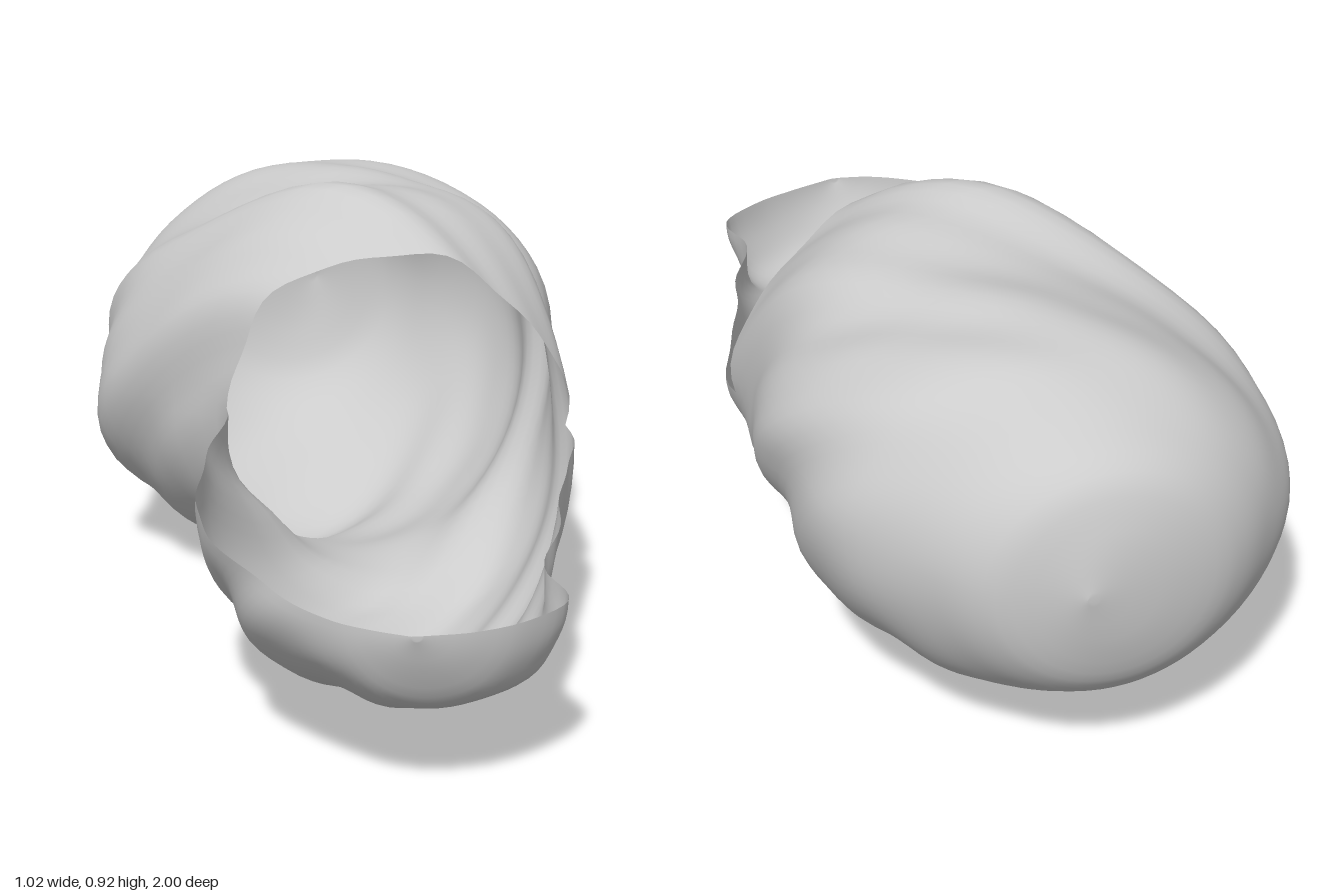
import * as THREE from 'three';

// Cross-sections along the shell: z, left x, right x, left rim y, right rim y, bottom y, top y
const SECTIONS = [
  [-1.0, 0.02, 0.04, 0.52, 0.52, 0.51, 0.53],
  [-0.985, -0.12, 0.09, 0.52, 0.52, 0.40, 0.63],
  [-0.95, -0.25, 0.2, 0.51, 0.52, 0.29, 0.73],
  [-0.85, -0.37, 0.31, 0.5, 0.53, 0.19, 0.8],
  [-0.72, -0.46, 0.43, 0.46, 0.55, 0.11, 0.87],
  [-0.55, -0.5, 0.49, 0.44, 0.57, 0.02, 0.88],
  [-0.4, -0.51, 0.51, 0.44, 0.56, 0.03, 0.88],
  [-0.2, -0.4, 0.49, 0.46, 0.5, 0.1, 0.93],
  [-0.1, -0.32, 0.485, 0.48, 0.46, 0.11, 0.9],
  [0, -0.25, 0.485, 0.49, 0.43, 0.09, 0.83],
  [0.1, -0.26, 0.475, 0.475, 0.42, 0.04, 0.8],
  [0.32, -0.33, 0.43, 0.455, 0.41, 0.01, 0.8],
  [0.6, -0.32, 0.345, 0.43, 0.385, 0.08, 0.7],
  [0.72, -0.28, 0.32, 0.41, 0.375, 0.12, 0.6],
  [0.85, -0.2, 0.335, 0.39, 0.365, 0.16, 0.5],
  [0.94, -0.11, 0.23, 0.375, 0.36, 0.21, 0.4],
  [0.98, -0.04, 0.13, 0.37, 0.36, 0.29, 0.38],
  [1.0, 0.02, 0.04, 0.365, 0.365, 0.355, 0.37],
];

// Smooth interpolation between neighbouring sections
function sectionAt(z) {
  let i = 0;
  while (i < SECTIONS.length - 2 && z > SECTIONS[i + 1][0]) i++;
  const a = SECTIONS[i], b = SECTIONS[i + 1];
  const p = SECTIONS[Math.max(i - 1, 0)], n = SECTIONS[Math.min(i + 2, SECTIONS.length - 1)];
  const h = b[0] - a[0], t = (z - a[0]) / h, t2 = t * t, t3 = t2 * t;
  return a.map((v, k) => {
    const m0 = (b[k] - p[k]) / (b[0] - p[0]) * h;
    const m1 = (n[k] - v) / (n[0] - a[0]) * h;
    return v * (2 * t3 - 3 * t2 + 1) + m0 * (t3 - 2 * t2 + t) + b[k] * (3 * t2 - 2 * t3) + m1 * (t3 - t2);
  });
}

// Point on the shell at angle a; shallow folds spiral around the long axis
function shellPoint(z, a) {
  const [, x0, x1, yL, yR, bottom, top] = sectionAt(z);
  const c = Math.cos(a), s = Math.sin(a);
  const fade = THREE.MathUtils.smoothstep(z, -0.95, -0.4) * (1 - THREE.MathUtils.smoothstep(z, 0.75, 1));
  const fold = 1 + 0.026 * fade * (Math.sin(6 * (a + 2.4 * z)) + 0.4 * Math.sin(11 * (a + 2.4 * z)) - 0.7);
  const mid = (yL + yR) / 2;
  const height = s > 0 ? top - mid : mid - bottom;
  const x = (x0 + x1) / 2 + (x1 - x0) / 2 * c * fold;
  const y = mid + (yR - yL) / 2 * c + height * s * fold;
  // the hood's front edge leans slightly forward at the top
  const lean = s > 0 ? 0.04 * s * THREE.MathUtils.smoothstep(z, -0.3, 0) : 0;
  return [x, y, z + lean];
}

export function createModel() {
  const group = new THREE.Group();
  const ROWS = 80, SIDES = 72;
  const positions = [], index = [];

  for (let r = 0; r <= ROWS; r++) {
    const z = r === ROWS / 2 ? 0 : -Math.cos(Math.PI * r / ROWS);
    for (let j = 0; j < SIDES; j++) positions.push(...shellPoint(z, j / SIDES * Math.PI * 2));
  }
  for (let r = 0; r < ROWS; r++) {
    for (let j = 0; j < SIDES; j++) {
      // closed hood at the back, only the lower half in front
      if (r >= ROWS / 2 && j < SIDES / 2) continue;
      const k = (j + 1) % SIDES;
      const a = r * SIDES + j, b = r * SIDES + k;
      index.push(a, b, a + SIDES, b, b + SIDES, a + SIDES);
    }
  }
  // end caps
  for (let j = 1; j < SIDES - 1; j++) index.push(0, j + 1, j);
  const last = ROWS * SIDES, half = SIDES / 2;
  for (let j = half + 1; j < SIDES; j++) index.push(last + half, last + j, last + (j + 1) % SIDES);

  const geometry = new THREE.BufferGeometry();
  geometry.setAttribute('position', new THREE.Float32BufferAttribute(positions, 3));
  geometry.setIndex(index);
  geometry.computeVertexNormals();

  const shell = new THREE.Mesh(
    geometry.toNonIndexed(), // drops the unused upper front points
    new THREE.MeshStandardMaterial({ color: 0xcccccc, side: THREE.DoubleSide })
  );
  shell.name = 'hoodedShell';
  group.add(shell);
  return group;
}
